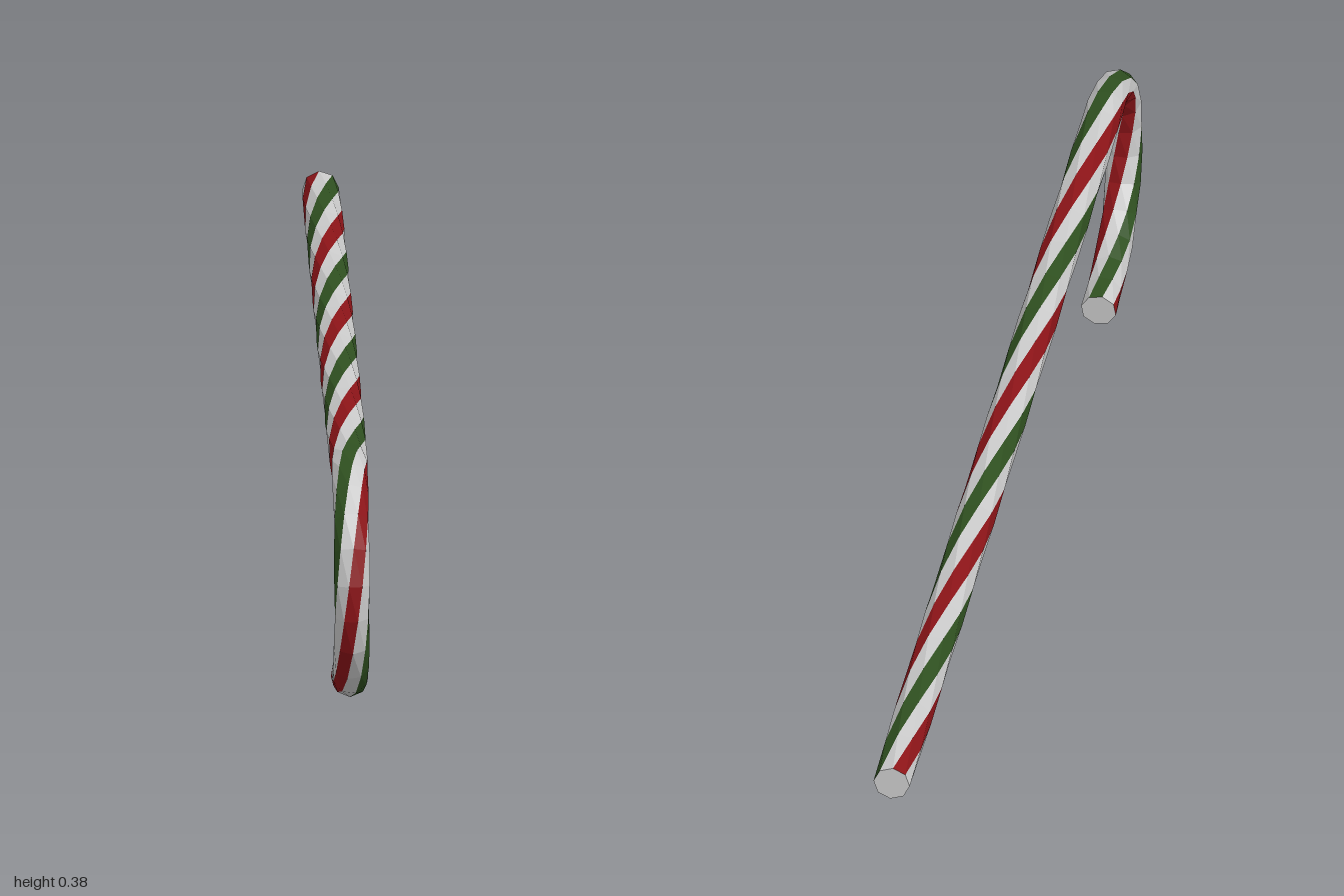
import * as THREE from 'three';

const SIDES = 8;
const TURN = Math.PI / 2 / 0.27; // twist per unit of length

export function createModel() {
  const group = new THREE.Group();
  group.name = 'candyCane';

  // Hook centre line as [z, y], continuing the straight shaft
  const hook = new THREE.CatmullRomCurve3([
    [0.76, 0.35], [0.82, 0.349], [0.88, 0.335], [0.935, 0.298], [0.966, 0.25], [0.974, 0.2],
    [0.966, 0.145], [0.94, 0.095], [0.9, 0.06], [0.85, 0.041], [0.8, 0.032], [0.75, 0.028],
  ].map(([z, y]) => new THREE.Vector3(0, y, z)));
  const hookLength = hook.getLength();

  // Twisted octagonal rings along the shaft and round the hook
  const rings = [];
  const addRing = (p, t, s, r) => {
    const up = new THREE.Vector3(0, t.z, -t.y);
    const ring = { centre: p, points: [] };
    for (let k = 0; k < SIDES; k++) {
      const a = (1.08 - s) * TURN + (k - 0.5) * Math.PI * 2 / SIDES;
      ring.points.push(p.clone().addScaledVector(up, r * Math.cos(a))
        .add(new THREE.Vector3(r * Math.sin(a), 0, 0)));
    }
    rings.push(ring);
  };
  const shaftSteps = 20, hookSteps = 13;
  for (let i = 0; i < shaftSteps; i++) {
    const z = -1 + 1.76 * i / shaftSteps;
    addRing(new THREE.Vector3(0, 0.35, z), new THREE.Vector3(0, 0, 1), z, i ? 0.029 : 0.027);
  }
  for (let i = 0; i <= hookSteps; i++) {
    const u = i / hookSteps;
    const t = i ? hook.getTangentAt(u) : new THREE.Vector3(0, 0, 1);
    addRing(hook.getPointAt(u), t, 0.76 + hookLength * u, i < 2 ? 0.028 : 0.0265);
  }

  const addMesh = (name, color, triangles) => {
    const geometry = new THREE.BufferGeometry().setFromPoints(triangles);
    geometry.computeVertexNormals();
    const mesh = new THREE.Mesh(geometry, new THREE.MeshStandardMaterial({ color, flatShading: true }));
    mesh.name = name;
    group.add(mesh);
  };

  // Spiral stripes: every side of the octagon is one stripe
  const stripes = [['redStripe', 0x8c1418], ['whiteStripe', 0xcccccc],
    ['greenStripe', 0x2f5020], ['whiteStripe', 0xcccccc]];
  for (let k = 0; k < SIDES; k++) {
    const triangles = [], n = (k + 1) % SIDES;
    for (let i = 0; i < rings.length - 1; i++) {
      const p = rings[i].points, q = rings[i + 1].points;
      triangles.push(p[k], q[k], q[n], p[k], q[n], p[n]);
    }
    addMesh(stripes[k % 4][0], stripes[k % 4][1], triangles);
  }

  // Flat end caps
  const addCap = (name, ring, flip) => {
    const triangles = [];
    ring.points.forEach((p, k) => {
      const q = ring.points[(k + 1) % SIDES];
      triangles.push(ring.centre, ...(flip ? [q, p] : [p, q]));
    });
    addMesh(name, 0xcccccc, triangles);
  };
  addCap('shaftEnd', rings[0], false);
  addCap('hookEnd', rings[rings.length - 1], true);

  // Stand on the ground
  const lowest = new THREE.Box3().setFromObject(group).min.y;
  group.children.forEach((mesh) => mesh.geometry.translate(0, -lowest, 0));
  return group;
}
